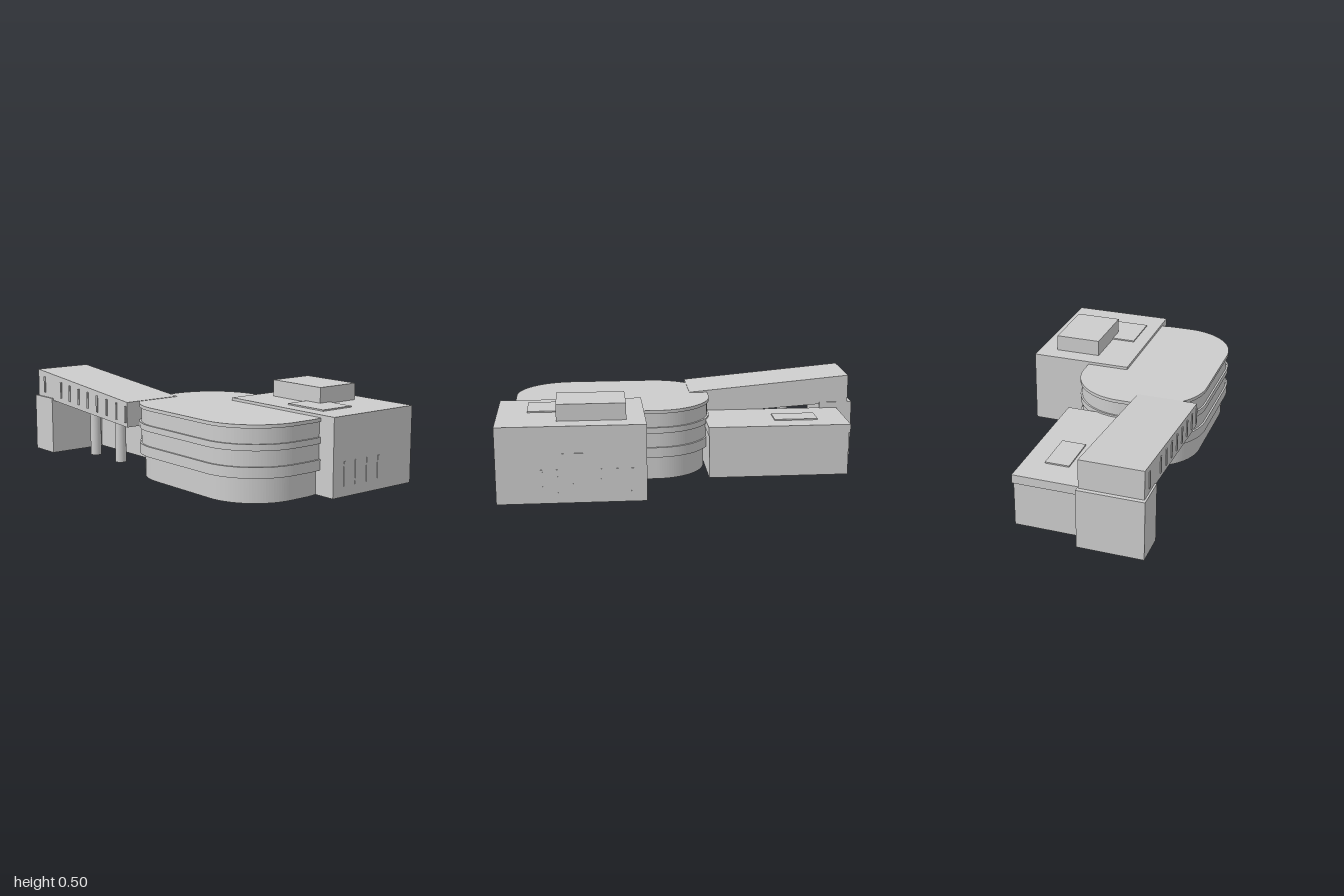
import * as THREE from 'three';

const concrete = new THREE.MeshStandardMaterial({ color: 0xcccccc });
concrete.name = 'pale grey';

export function createModel() {
  const model = new THREE.Group();
  model.name = 'building';

  const add = (name, geometry, parent = model) => {
    const mesh = new THREE.Mesh(geometry, concrete);
    mesh.name = name;
    parent.add(mesh);
    return mesh;
  };

  // Box given by its limits on each axis
  const box = (name, x0, x1, y0, y1, z0, z1, parent) => {
    const mesh = add(name, new THREE.BoxGeometry(x1 - x0, y1 - y0, z1 - z0), parent);
    mesh.position.set((x0 + x1) / 2, (y0 + y1) / 2, (z0 + z1) / 2);
    return mesh;
  };

  const group = (name) => {
    const g = new THREE.Group();
    g.name = name;
    model.add(g);
    return g;
  };

  // Rounded hall: stacked storeys and projecting bands with one plan, inset by different amounts
  const hall = group('roundedHall');
  const storey = (name, y0, y1, inset) => {
    const r = 0.31 - inset;
    const x0 = 0.15, x1 = 0.605, z0 = 0.11, z1 = 0.21; // corner centres
    const plan = new THREE.Shape();
    plan.absarc(x1, -z0, r, 0, Math.PI / 2);
    plan.absarc(x0, -z0, r, Math.PI / 2, Math.PI);
    plan.absarc(x0, -z1, r, Math.PI, Math.PI * 1.5);
    plan.absarc(x1, -z1, r, Math.PI * 1.5, Math.PI * 2);
    plan.closePath();
    const geometry = new THREE.ExtrudeGeometry(plan, { depth: y1 - y0, bevelEnabled: false, curveSegments: 16 });
    geometry.rotateX(-Math.PI / 2).translate(0, y0, 0);
    add(name, geometry, hall);
  };
  storey('groundStorey', 0, 0.13, 0.03);
  storey('lowerBand', 0.13, 0.185, 0);
  storey('middleStorey', 0.185, 0.265, 0.01);
  storey('middleBand', 0.265, 0.297, 0);
  storey('upperStorey', 0.297, 0.375, 0.01);
  storey('roofBand', 0.375, 0.393, 0);

  // Square tower with roof structures
  box('towerBlock', 0.225, 0.997, 0, 0.408, -0.53, 0.033);
  box('roofPenthouse', 0.325, 0.685, 0.408, 0.497, -0.43, -0.175);
  box('towerSkylight', 0.58, 0.84, 0.408, 0.415, -0.245, -0.045);

  // Tower slit windows on the left side and the back
  const towerWindows = group('towerWindows');
  for (const z of [-0.045, -0.125, -0.205, -0.285]) {
    box('sideSlitWindow', 0.995, 1, 0.055, 0.18, z - 0.006, z + 0.006, towerWindows);
  }
  for (let i = 0; i < 7; i++) {
    const x = 0.3 + i * 0.0775;
    box('backSlitWindow', x - 0.006, x + 0.006, 0.055, 0.18, -0.534, -0.528, towerWindows);
  }
  box('backWideWindow', 0.55, 0.66, 0.23, 0.265, -0.534, -0.528, towerWindows);

  // Low block behind the raised wing
  box('lowBlock', -0.905, -0.135, 0, 0.24, -0.18, 0.19);
  box('lowBlockParapet', -0.912, -0.13, 0.24, 0.287, -0.187, 0.19);
  box('lowBlockSkylight', -0.75, -0.51, 0.287, 0.294, -0.075, 0.055);

  // Raised sloping wing
  const side = new THREE.Shape([
    new THREE.Vector2(-0.977, 0.32), new THREE.Vector2(-0.06, 0.26),
    new THREE.Vector2(-0.06, 0.395), new THREE.Vector2(-0.977, 0.476),
  ]);
  const wing = new THREE.ExtrudeGeometry(side, { depth: 0.333, bevelEnabled: false });
  wing.translate(0, 0, 0.188);
  add('slopingWing', wing);

  // Slit windows following the slope
  const wingWindows = group('wingWindows');
  for (const x of [-0.905, -0.725, -0.632, -0.538, -0.444, -0.35, -0.256, -0.162, -0.075]) {
    const middle = 0.395 - (x + 0.94) * 0.077;
    box('wingSlitWindow', x - 0.007, x + 0.007, middle - 0.046, middle + 0.046, 0.518, 0.526, wingWindows);
  }

  // Supports of the wing
  box('endPier', -1, -0.813, 0, 0.321, 0.183, 0.531);
  for (const x of [-0.625, -0.37]) {
    const column = add('column', new THREE.CylinderGeometry(0.031, 0.031, 0.3, 24));
    column.position.set(x, 0.15, 0.355);
  }

  return model;
}
